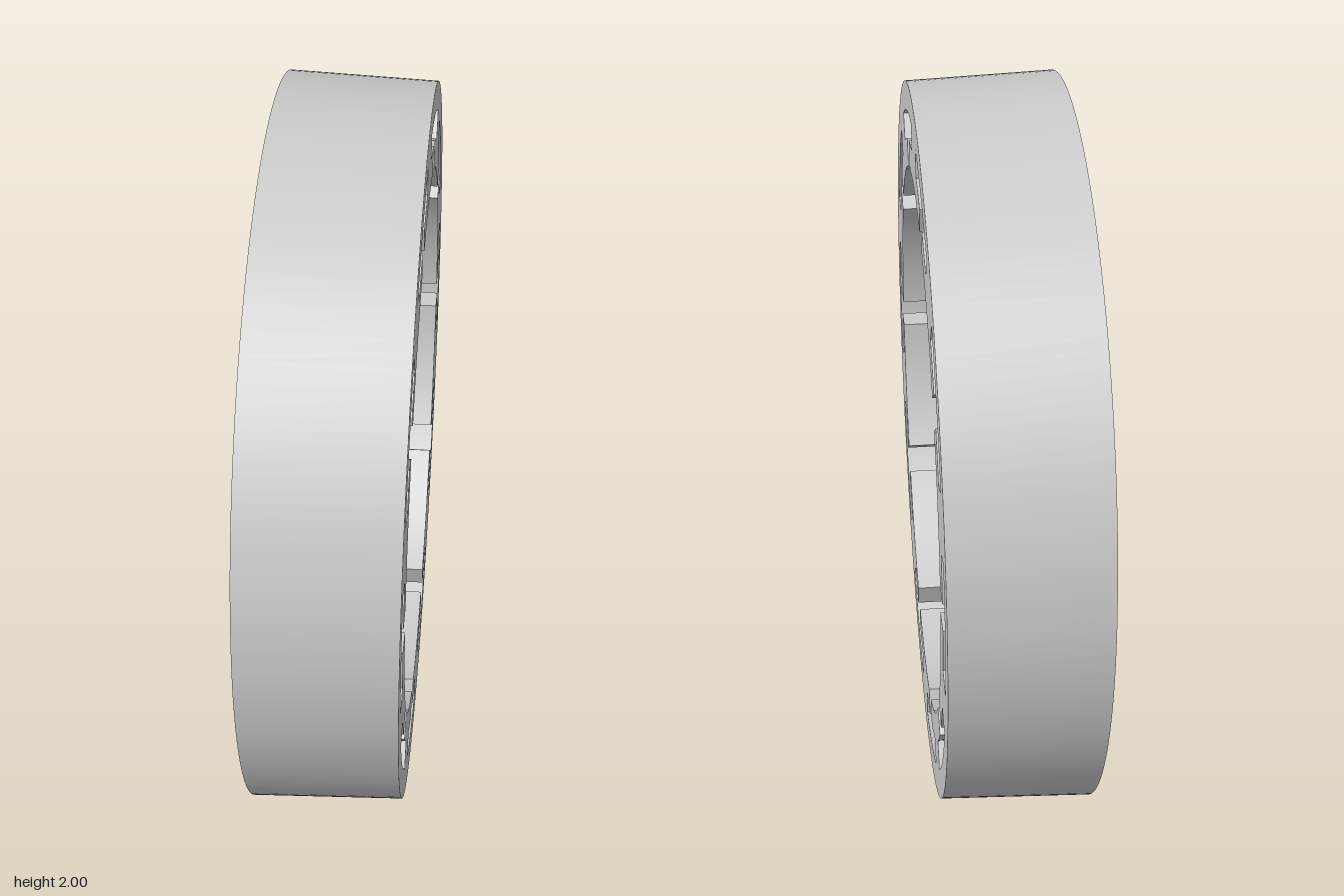
import * as THREE from 'three';
import { toCreasedNormals } from 'three/addons/utils/BufferGeometryUtils.js';

const TEETH = 10, DEPTH = 0.4;
const R_BACK = 1, R_FRONT = 0.985;                    // slightly tapered outside
const R_BORE = 0.755, R_SHOE = 0.831, R_SLOT = 0.908; // tooth face, shoe back, slot bottom
const HALF_GAP = 0.04, HALF_TOOTH = 0.085;

// Points along an arc, either direction
function arc(r, a0, a1, n) {
  return Array.from({ length: n + 1 }, (_, i) => {
    const a = a0 + (a1 - a0) * i / n;
    return new THREE.Vector2(r * Math.cos(a), r * Math.sin(a));
  });
}

// Bore outline: tooth faces, gaps and T-slots in one closed loop
function boreOutline() {
  const points = [], pitch = 2 * Math.PI / TEETH, half = pitch / 2;
  const gapIn = Math.asin(HALF_GAP / R_BORE), gapOut = Math.asin(HALF_GAP / R_SHOE);
  const neckIn = half - Math.asin(HALF_TOOTH / R_SHOE);
  const neckOut = half - Math.asin(HALF_TOOTH / R_SLOT);
  for (let k = 0; k < TEETH; k++) {
    const a = k * pitch; // centre of the slot
    points.push(
      ...arc(R_BORE, a - pitch + gapIn, a - gapIn, 14),
      ...arc(R_SHOE, a - gapOut, a - neckIn, 5),
      ...arc(R_SLOT, a - neckOut, a + neckOut, 12),
      ...arc(R_SHOE, a + neckIn, a + gapOut, 5));
  }
  return points;
}

export function createModel() {
  const group = new THREE.Group();
  group.name = 'slottedRing';

  const shape = new THREE.Shape(arc(1, 0, 2 * Math.PI, 180).slice(0, -1));
  shape.holes.push(new THREE.Path(boreOutline()));
  let geometry = new THREE.ExtrudeGeometry(shape, { depth: DEPTH, bevelEnabled: false });

  // Taper the outer wall only
  const p = geometry.attributes.position;
  for (let i = 0; i < p.count; i++) {
    const x = p.getX(i), y = p.getY(i), r = Math.hypot(x, y);
    if (r < 0.95) continue;
    const s = THREE.MathUtils.lerp(R_BACK, R_FRONT, p.getZ(i) / DEPTH) / r;
    p.setXY(i, x * s, y * s);
  }
  geometry = toCreasedNormals(geometry, 0.5);
  geometry.translate(0, 0, -DEPTH / 2);
  geometry.rotateY(Math.PI / 2); // ring axis along x
  geometry.translate(0, 1, 0);

  const ring = new THREE.Mesh(geometry, new THREE.MeshStandardMaterial({ color: 0xcccccc }));
  ring.name = 'toothedRing';
  group.add(ring);
  return group;
}
